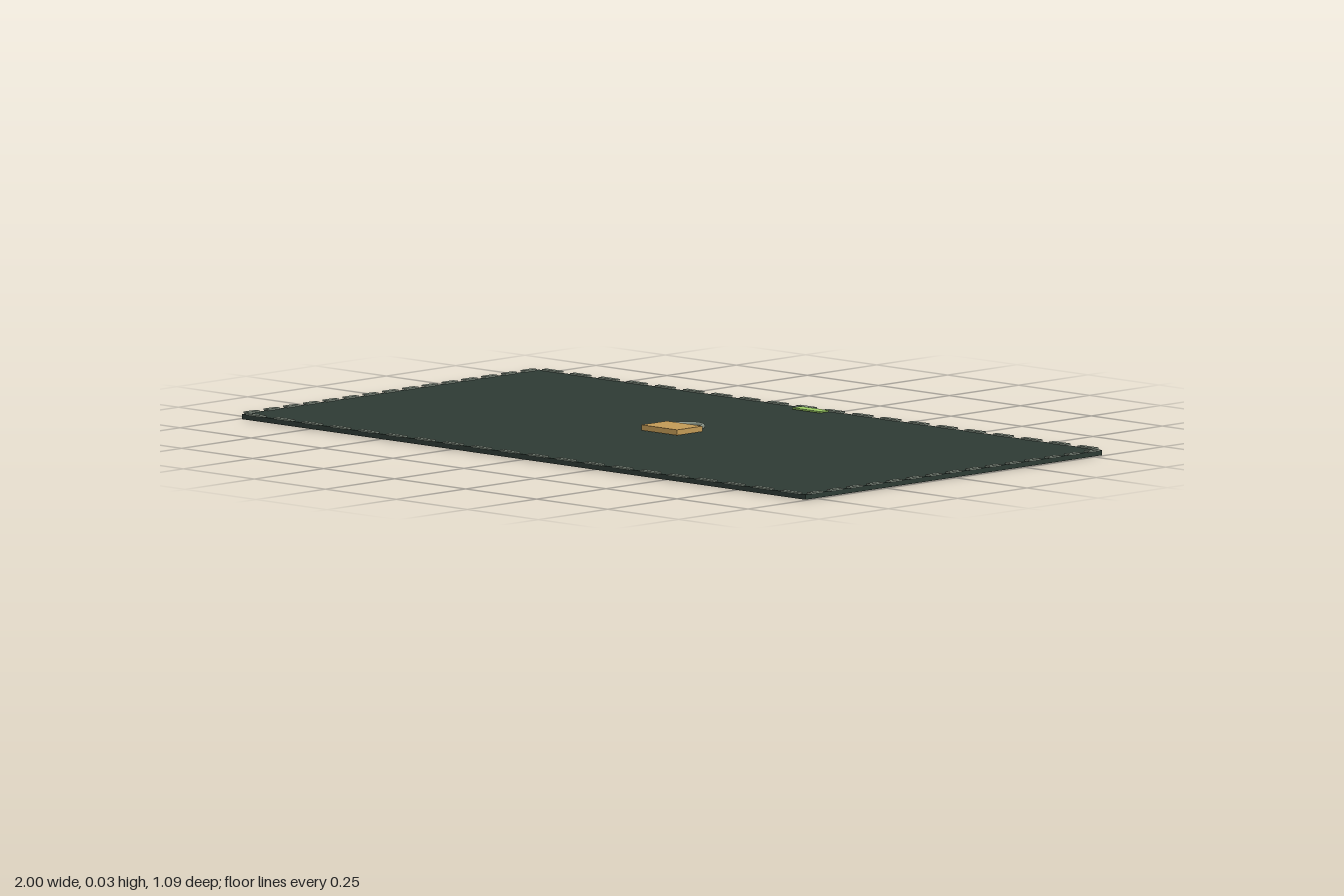
import * as THREE from 'three';

export function createModel() {
  const group = new THREE.Group();
  group.name = 'lockedPlot';
  const mat = (name, color) => {
    const m = new THREE.MeshStandardMaterial({ color });
    m.name = name;
    return m;
  };
  const darkGreen = mat('darkGreen', 0x2d3a34);
  const grey = mat('greyGreen', 0x828e82);
  const gold = mat('gold', 0xc29a56);
  const lime = mat('lime', 0x9ccc65);

  const add = (name, geometry, material, x, y, z, parent = group) => {
    const mesh = new THREE.Mesh(geometry, material);
    mesh.name = name;
    mesh.position.set(x, y, z);
    parent.add(mesh);
    return mesh;
  };
  const box = (w, h, d) => new THREE.BoxGeometry(w, h, d);

  // Flat ground slab
  const halfX = 0.992, halfZ = 0.535;
  add('slab', box(halfX * 2, 0.013, halfZ * 2), darkGreen, 0, 0.0065, 0);

  // Dashed border, one row of dashes along each edge
  const border = new THREE.Group();
  border.name = 'dashedBorder';
  group.add(border);
  const dashRow = (count, halfLength, put) => {
    const step = (halfLength * 2) / count;
    for (let i = 0; i < count; i++) put(-halfLength + step * (i + 0.5), step * 0.6);
  };
  for (const s of [-1, 1]) {
    dashRow(20, halfX, (x, len) =>
      add('borderDash', box(len, 0.004, 0.016), grey, x, 0.015, s * halfZ, border));
    dashRow(15, halfZ, (z, len) =>
      add('borderDash', box(0.016, 0.004, len), grey, s * halfX, 0.015, z, border));
  }

  // Padlock lying flat in the middle
  const padlock = new THREE.Group();
  padlock.name = 'padlock';
  group.add(padlock);
  add('lockBody', box(0.126, 0.014, 0.092), gold, 0, 0.023, 0, padlock);
  const shackle = add('shackle', new THREE.TorusGeometry(0.042, 0.006, 8, 24, Math.PI),
    grey, 0, 0.023, -0.051, padlock);
  shackle.rotation.x = -Math.PI / 2;
  for (const s of [-1, 1]) {
    const leg = add('shackleLeg', new THREE.CylinderGeometry(0.006, 0.006, 0.012, 8),
      grey, s * 0.042, 0.023, -0.046, padlock);
    leg.rotation.x = Math.PI / 2;
  }

  // Bright marker at the back edge
  add('backMarker', box(0.096, 0.004, 0.032), lime, 0, 0.017, -0.5);

  return group;
}
